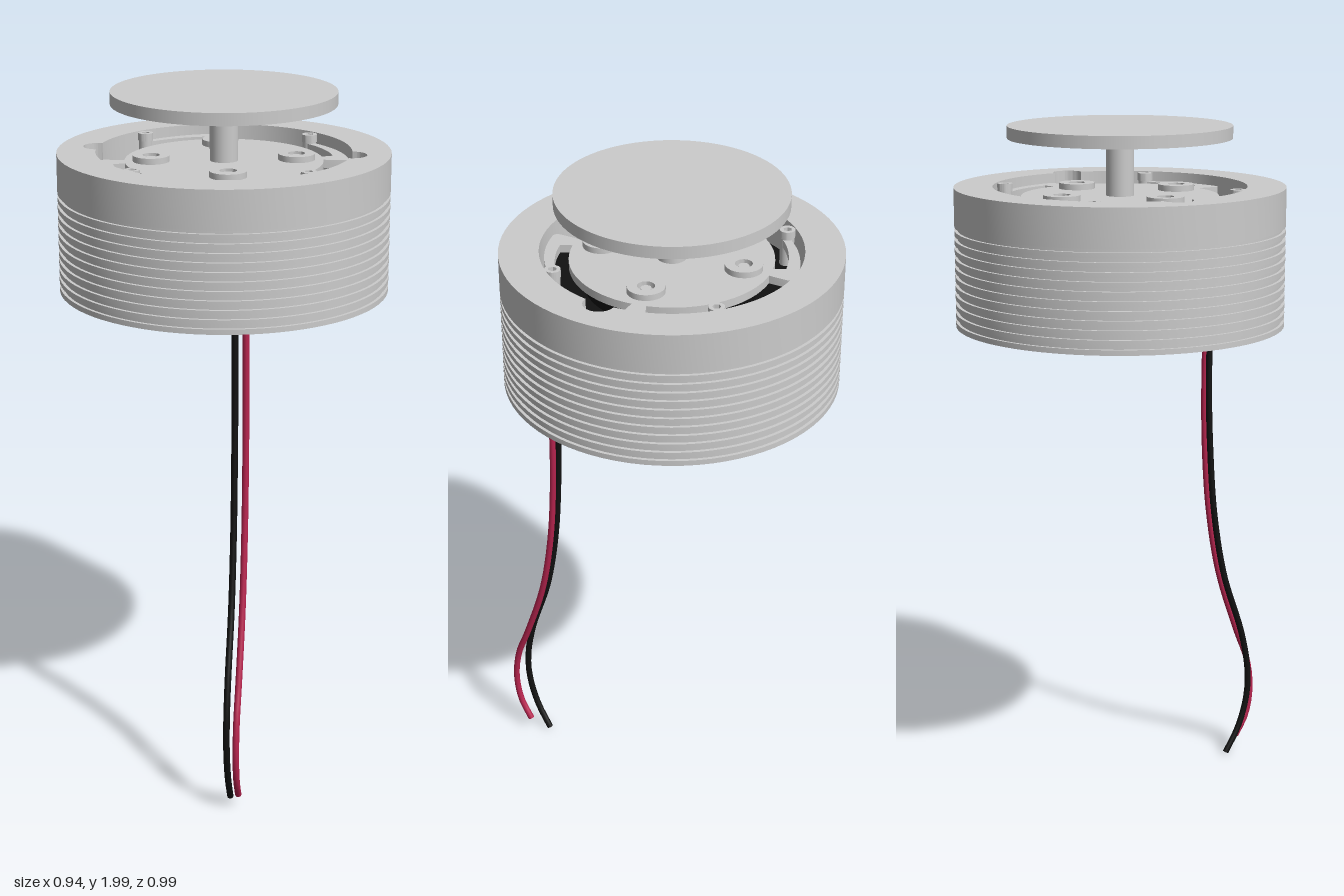
import * as THREE from 'three';
import { toCreasedNormals } from 'three/addons/utils/BufferGeometryUtils.js';

const grey = new THREE.MeshStandardMaterial({ color: 0xcccccc });
const black = new THREE.MeshStandardMaterial({ color: 0x111111 });
const red = new THREE.MeshStandardMaterial({ color: 0xb8244f });

const OPENING = 0.36, BOLT = 0.043;
const deg = Math.PI / 180;

function add(parent, name, geometry, material = grey) {
  const mesh = new THREE.Mesh(geometry, material);
  mesh.name = name;
  parent.add(mesh);
  return mesh;
}

// Upright extrusion of a plan shape between two heights (shape y points to -z)
function slab(shape, y0, y1, segments = 40) {
  const g = new THREE.ExtrudeGeometry(shape, { depth: y1 - y0, bevelEnabled: false, curveSegments: segments });
  g.rotateX(-Math.PI / 2).translate(0, y0, 0);
  return toCreasedNormals(g, 0.5);
}

function disc(r, holes = []) {
  const s = new THREE.Shape().absarc(0, 0, r, 0, Math.PI * 2);
  for (const [x, y, hr] of holes) s.holes.push(new THREE.Path().absarc(x, y, hr, 0, Math.PI * 2));
  return s;
}

function cylinder(r, y0, y1, segments = 32) {
  return new THREE.CylinderGeometry(r, r, y1 - y0, segments).translate(0, (y0 + y1) / 2, 0);
}

// Circular opening with the bolt circles added to it (outward) or taken from it
function notched(path, outward) {
  const a = 2 * Math.asin(BOLT / (2 * OPENING)), b = Math.PI / 2 + a / 2;
  path.absarc(0, 0, OPENING, a, Math.PI - a);
  path.absarc(-OPENING, 0, BOLT, Math.PI - b, Math.PI + b, !outward);
  path.absarc(0, 0, OPENING, Math.PI + a, 2 * Math.PI - a);
  path.absarc(OPENING, 0, BOLT, -b, b, !outward);
  return path;
}

// Spring arm: a curved strip from the post to a short tab on the hub
function armShape() {
  const pts = [];
  const at = (r, d) => pts.push(new THREE.Vector2(r * Math.cos(d * deg), r * Math.sin(d * deg)));
  at(0.26, 10); at(0.335, 8.5); at(0.347, 9); at(0.352, 10.5);
  for (let i = 1; i <= 12; i++) at(0.352 - 0.01 * i / 12, 10.5 + 41.5 * i / 12);
  for (let i = 0; i <= 10; i++) at(0.322 - 0.008 * i / 10, 52 - 33 * i / 10);
  at(0.26, 17);
  return new THREE.Shape(pts);
}

function wire(parent, name, x, points, material) {
  const curve = new THREE.CatmullRomCurve3(points.map(([z, y]) => new THREE.Vector3(x, y, z)));
  add(parent, name, new THREE.TubeGeometry(curve, 48, 0.0095, 10), material);
  // Closed ends
  for (const t of [0, 1]) {
    const cap = add(parent, name + 'End', new THREE.CircleGeometry(0.0095, 10), material);
    const p = curve.getPoint(t), dir = curve.getTangent(t).multiplyScalar(t ? 1 : -1);
    cap.position.copy(p);
    cap.lookAt(p.clone().add(dir));
  }
}

export function createModel() {
  const model = new THREE.Group();
  const unit = new THREE.Group();
  unit.name = 'driverUnit';
  unit.position.z = -0.025;
  model.add(unit);

  // Housing: base plate, core, cooling fins and notched collar
  const holes = [[-OPENING, 0, BOLT], [OPENING, 0, BOLT], [0.1, -0.34, 0.028]];
  add(unit, 'basePlate', slab(disc(0.47, holes), 1.435, 1.45));
  add(unit, 'housingCore', slab(disc(0.461, holes), 1.45, 1.72));
  for (let i = 0; i < 10; i++) {
    const y = 1.462 + i * 0.026;
    add(unit, 'coolingFin', slab(disc(0.47, [[0, 0, 0.455]]), y, y + 0.014));
  }
  const collar = disc(0.47);
  collar.holes.push(notched(new THREE.Path(), true));
  add(unit, 'collar', slab(collar, 1.72, 1.83));
  add(unit, 'cavityFloor', slab(notched(new THREE.Shape(), false), 1.718, 1.724), black);

  // Moving hub with stem and top disc
  add(unit, 'hubCore', cylinder(0.24, 1.72, 1.785, 64), black);
  add(unit, 'hubPlate', cylinder(0.28, 1.78, 1.803, 64));
  add(unit, 'stem', cylinder(0.04, 1.8, 1.97));
  add(unit, 'topDisc', cylinder(0.318, 1.965, 2, 80));

  // Four spring arms, posts and hub bosses
  const arm = slab(armShape(), 1.78, 1.803);
  const hex = new THREE.Path();
  for (let i = 0; i < 6; i++) {
    const x = 0.012 * Math.cos(i * 60 * deg), y = 0.012 * Math.sin(i * 60 * deg);
    if (i) hex.lineTo(x, y); else hex.moveTo(x, y);
  }
  hex.closePath();
  const head = disc(0.022);
  head.holes.push(hex);
  for (let i = 0; i < 4; i++) {
    const quarter = new THREE.Group();
    quarter.name = 'springQuarter';
    quarter.rotation.y = i * Math.PI / 2;
    unit.add(quarter);
    add(quarter, 'springArm', arm);

    const post = new THREE.Group();
    post.name = 'post';
    post.position.set(0.21, 0, -0.265);
    quarter.add(post);
    add(post, 'postShaft', cylinder(0.02, 1.72, 1.812, 20));
    add(post, 'postHead', slab(head, 1.806, 1.828, 12));

    const boss = new THREE.Group();
    boss.name = 'hubBoss';
    boss.position.set(0.043, 0, 0.2);
    quarter.add(boss);
    add(boss, 'bossRing', slab(disc(0.052, [[0, 0, 0.024]]), 1.8, 1.82, 16));
    add(boss, 'bossScrew', cylinder(0.015, 1.8, 1.814, 16));
  }

  // Lead wires
  wire(model, 'blackWire', 0.084, [[0.313, 1.5], [0.313, 1.4], [0.311, 1.2], [0.318, 1], [0.334, 0.8],
    [0.37, 0.6], [0.435, 0.4], [0.458, 0.28], [0.456, 0.19], [0.428, 0.09], [0.384, 0.01]], black);
  wire(model, 'redWire', 0.115, [[0.315, 1.5], [0.315, 1.4], [0.312, 1.2], [0.316, 1], [0.332, 0.8],
    [0.368, 0.6], [0.434, 0.4], [0.472, 0.3], [0.485, 0.2], [0.47, 0.11], [0.435, 0.047]], red);
  return model;
}
